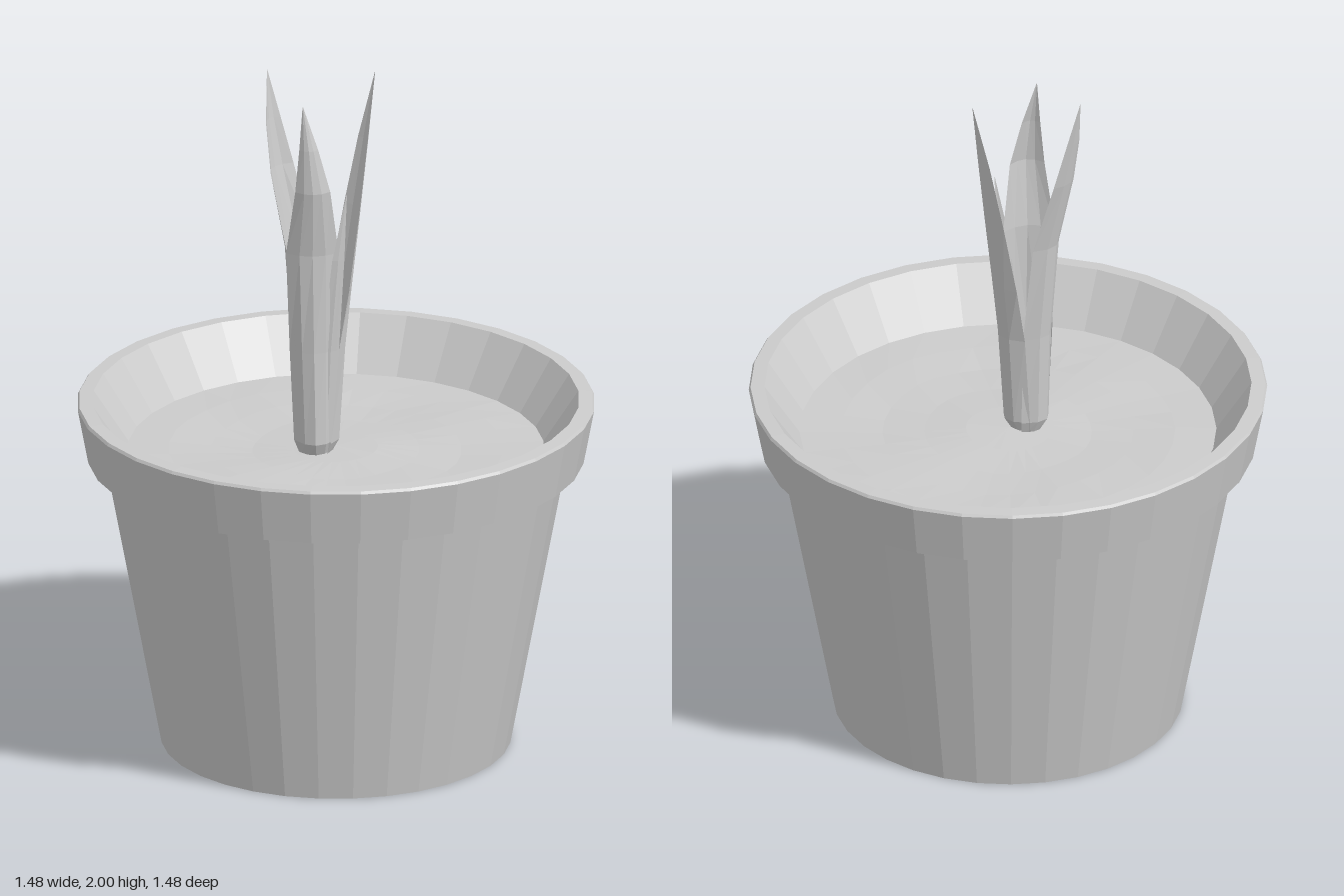
import * as THREE from 'three';

const SIDES = 32;
const SOIL_Y = 0.88;
const grey = new THREE.MeshStandardMaterial({ color: 0xcccccc, flatShading: true });
const thin = new THREE.MeshStandardMaterial({ color: 0xcccccc, flatShading: true, side: THREE.DoubleSide });

function addMesh(parent, name, geometry, material) {
  const mesh = new THREE.Mesh(geometry, material);
  mesh.name = name;
  parent.add(mesh);
  return mesh;
}

// Tapered pot with an overhanging rim and a sloping inner wall
function potGeometry() {
  const profile = [
    [0, 0], [0.5, 0], [0.66, 0.86], [0.71, 0.86], [0.74, 1.02], [0.735, 1.028],
    [0.695, 1.03], [0.595, SOIL_Y],
  ].map(([r, y]) => new THREE.Vector2(r, y));
  return new THREE.LatheGeometry(profile, SIDES);
}

// Faceted disc with gentle bumps that fade out at the wall
function soilGeometry() {
  const radius = 0.597;
  const geo = new THREE.RingGeometry(0.001, radius, SIDES / 2 * 2, 5);
  geo.rotateX(-Math.PI / 2);
  const p = geo.attributes.position;
  for (let i = 0; i < p.count; i++) {
    const x = p.getX(i), z = p.getZ(i);
    const fade = 1 - Math.pow(Math.hypot(x, z) / radius, 4);
    p.setY(i, SOIL_Y + 0.009 * fade * Math.sin(9 * x + 4 * z + 1) * Math.cos(8 * z - 5 * x));
  }
  geo.computeVertexNormals();
  return geo;
}

// Cupped blade. Each row: [y, midrib x, midrib z, half width, cup depth]
function leafGeometry(outX, outZ, rows) {
  const across = 4;
  const len = Math.hypot(outX, outZ);
  const ox = outX / len, oz = outZ / len;
  const positions = [], index = [];
  rows.forEach(([y, x, z, w, cup], r) => {
    for (let i = 0; i <= across; i++) {
      const t = (i / across) * 2 - 1;
      const back = cup * t * t;
      positions.push(x - ox * back + oz * w * t, y, z - oz * back - ox * w * t);
      if (r > 0 && i > 0) {
        const d = r * (across + 1) + i, c = d - 1, b = d - across - 1, a = b - 1;
        index.push(a, b, d, a, d, c);
      }
    }
  });
  const geo = new THREE.BufferGeometry();
  geo.setAttribute('position', new THREE.Float32BufferAttribute(positions, 3));
  geo.setIndex(index);
  geo.computeVertexNormals();
  return geo;
}

export function createModel() {
  const model = new THREE.Group();
  model.name = 'pottedPlant';
  addMesh(model, 'pot', potGeometry(), grey);
  addMesh(model, 'soil', soilGeometry(), grey);

  // Upright leaves that wrap around each other at the base
  const plant = new THREE.Group();
  plant.name = 'plant';
  model.add(plant);

  addMesh(plant, 'backLeaf', leafGeometry(-0.6, -0.8, [
    [0.87, -0.08, -0.03, 0.04, 0.03],
    [0.92, -0.10, -0.05, 0.06, 0.05],
    [1.20, -0.105, -0.055, 0.065, 0.05],
    [1.50, -0.12, -0.07, 0.065, 0.04],
    [1.72, -0.15, -0.105, 0.055, 0.025],
    [1.86, -0.162, -0.125, 0.035, 0.015],
    [2.00, -0.16, -0.15, 0.001, 0],
  ]), thin);

  addMesh(plant, 'leftLeaf', leafGeometry(1, -0.1, [
    [0.87, -0.02, 0, 0.04, 0.03],
    [0.92, 0.01, 0, 0.058, 0.05],
    [1.20, 0.027, -0.005, 0.065, 0.045],
    [1.38, 0.045, -0.015, 0.07, 0.03],
    [1.60, 0.073, -0.022, 0.056, 0.02],
    [1.80, 0.102, -0.035, 0.035, 0.012],
    [2.00, 0.13, -0.045, 0.001, 0],
  ]), thin);

  addMesh(plant, 'frontLeaf', leafGeometry(-0.25, 0.95, [
    [0.87, -0.07, 0.04, 0.045, 0.035],
    [0.92, -0.08, 0.065, 0.06, 0.05],
    [1.20, -0.085, 0.065, 0.068, 0.05],
    [1.50, -0.09, 0.068, 0.075, 0.03],
    [1.70, -0.098, 0.098, 0.05, 0.025],
    [1.83, -0.108, 0.09, 0.027, 0.015],
    [1.96, -0.12, 0.07, 0.001, 0],
  ]), thin);

  addMesh(plant, 'youngLeaf', leafGeometry(0.5, 0.85, [
    [0.87, -0.04, 0.03, 0.03, 0.02],
    [0.92, -0.025, 0.05, 0.035, 0.025],
    [1.20, -0.015, 0.055, 0.035, 0.025],
    [1.48, -0.002, 0.068, 0.026, 0.015],
    [1.68, 0.01, 0.073, 0.001, 0],
  ]), thin);

  return model;
}
